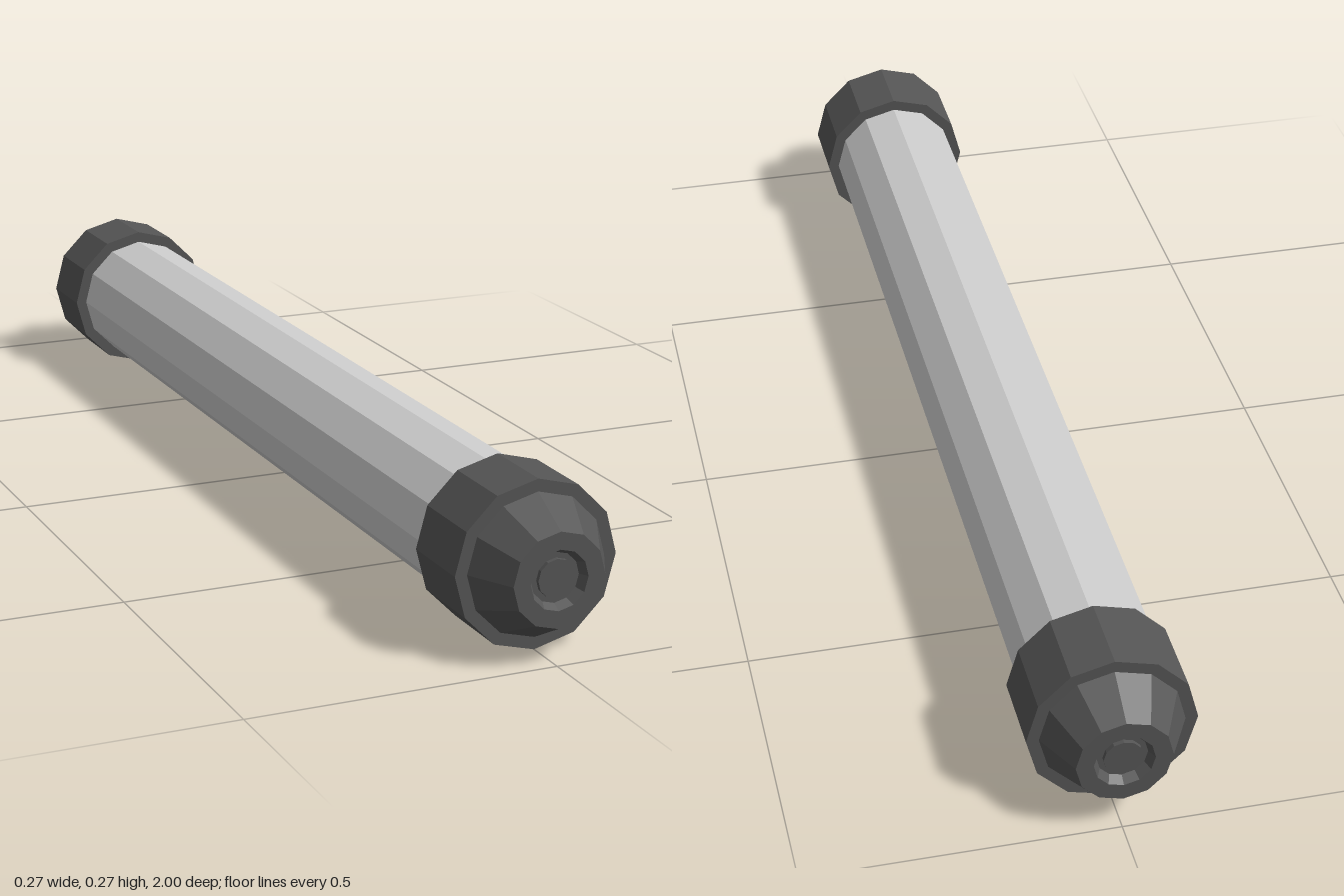
import * as THREE from 'three';

const SIDES = 12;
const AXIS_HEIGHT = 0.135;

export function createModel() {
  const model = new THREE.Group();
  model.name = 'cappedTube';

  const tubeMaterial = new THREE.MeshStandardMaterial({ color: 0xcccccc, flatShading: true });
  const capMaterial = new THREE.MeshStandardMaterial({ color: 0x555555, flatShading: true });

  // Faceted tube along z
  const tube = new THREE.Mesh(
    new THREE.CylinderGeometry(0.115, 0.115, 1.7, SIDES, 1, true).rotateX(Math.PI / 2),
    tubeMaterial
  );
  tube.name = 'tube';
  tube.position.y = AXIS_HEIGHT;
  model.add(tube);

  // End cap profile (radius, distance from centre): collar, tapered nose, recess and centre button
  const profile = [
    [0.113, 0.795], [0.135, 0.795], [0.135, 0.927], [0.115, 0.927],
    [0.076, 1], [0.048, 1], [0.04, 0.985], [0.031, 0.985], [0.031, 0.992], [0, 0.992],
  ].map(([r, d]) => new THREE.Vector2(r, d));
  const capGeometry = new THREE.LatheGeometry(profile, SIDES);

  // Matching caps at both ends
  for (const [name, side] of [['frontCap', 1], ['backCap', -1]]) {
    const cap = new THREE.Mesh(capGeometry, capMaterial);
    cap.name = name;
    cap.rotation.x = side * Math.PI / 2;
    cap.position.y = AXIS_HEIGHT;
    model.add(cap);
  }

  return model;
}
